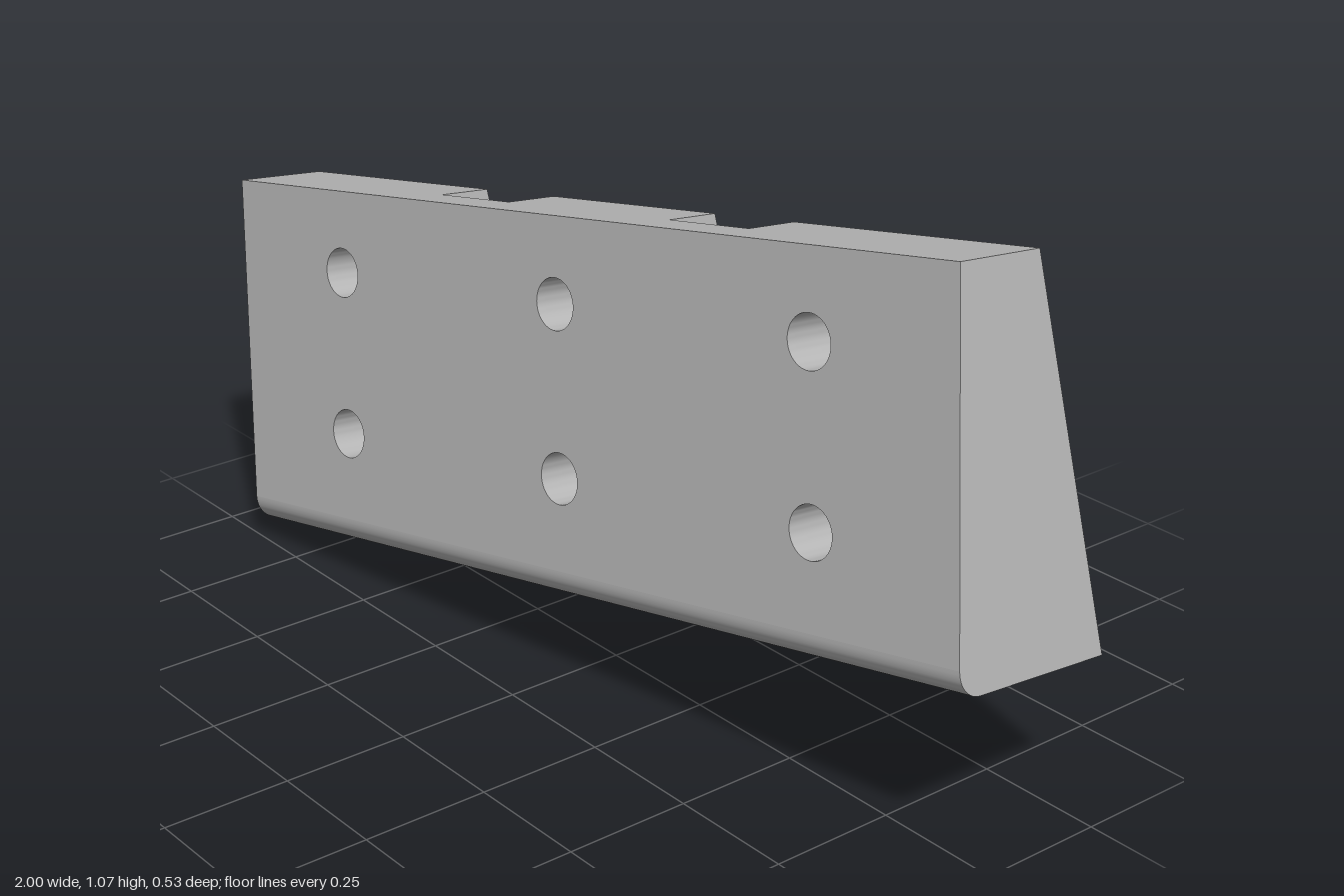
import * as THREE from 'three';
import { mergeGeometries, toCreasedNormals } from 'three/addons/utils/BufferGeometryUtils.js';

// Block sizes in its own frame: a = along, b = up the front face, c = toward the front
const LEN = 1.901, H = 0.714, D = 0.373, FILLET = 0.052;
const SLOPE = 0.176 / H;                      // the back face leans forward as it rises
const back = (b) => b * SLOPE;
const SEAT = 0.236, BORE_R = 0.049, CBORE_R = 0.093;
const SLOT_FLOOR = 0.289, SLOT_B = 0.149, SLOT_HALF = 0.097;
const MID = LEN / 2;
const HOLES = [-0.627, 0, 0.627].flatMap((d) => [[MID + d, 0.228], [MID + d, 0.552]]);
const SLOTS = [-0.3135, 0.3135].map((d) => [MID + d - SLOT_HALF, MID + d + SLOT_HALF]);

const pts = (list) => list.map(([x, y]) => new THREE.Vector2(x, y));
const rect = (x0, y0, x1, y1) => [[x0, y0], [x1, y0], [x1, y1], [x0, y1]];
const circle = ([a, b], r, n = 48) => Array.from({ length: n + 1 }, (_, i) => {
  const t = (i / n) * Math.PI * 2;
  return [a + r * Math.cos(t), b + r * Math.sin(t)];
});

// Flat panel: an outline with holes, each corner placed by map(x, y) -> [a, b, c]
function panel(outline, map, flip = false, holes = []) {
  const shape = new THREE.Shape(pts(outline));
  shape.holes = holes.map((h) => new THREE.Path(pts(h.slice(0, -1))));
  const geo = new THREE.ShapeGeometry(shape);
  const pos = geo.attributes.position;
  for (let i = 0; i < pos.count; i++) pos.setXYZ(i, ...map(pos.getX(i), pos.getY(i)));
  if (flip) geo.index.array.reverse();
  const flat = geo.toNonIndexed();
  flat.deleteAttribute('uv');
  flat.computeVertexNormals();
  return flat;
}

// Smooth strip between two matching rows of points
function strip(P, Q) {
  const v = [];
  for (let i = 0; i < P.length - 1; i++) {
    v.push(...P[i], ...Q[i], ...P[i + 1], ...P[i + 1], ...Q[i], ...Q[i + 1]);
  }
  const geo = new THREE.BufferGeometry();
  geo.setAttribute('position', new THREE.Float32BufferAttribute(v, 3));
  return toCreasedNormals(geo, 0.6);
}

export function createModel() {
  const grey = new THREE.MeshStandardMaterial({ color: 0xb8b8b8 });
  grey.name = 'grey';
  const model = new THREE.Group();
  model.name = 'wedgeBlock';
  const add = (name, ...geos) => {
    const mesh = new THREE.Mesh(mergeGeometries(geos), grey);
    mesh.name = name;
    model.add(mesh);
  };

  // Front face with the six bores
  add('frontFace', panel(rect(0, FILLET, LEN, H), (x, y) => [x, y, D], false,
    HOLES.map((h) => circle(h, BORE_R))));

  // Sloping back face, cut by the slots and counterbores
  const notches = (y) => SLOTS.toReversed().flatMap(([a0, a1]) => [[a1, H], [a1, y], [a0, y], [a0, H]]);
  add('backFace', panel([[0, 0], [LEN, 0], [LEN, H], ...notches(SLOT_B), [0, H]],
    (x, y) => [x, y, back(y)], true, HOLES.map((h) => circle(h, CBORE_R))));

  // Top face, notched where the slots break through
  const topNotches = SLOTS.flatMap(([a0, a1]) =>
    [[a0, back(H)], [a0, SLOT_FLOOR], [a1, SLOT_FLOOR], [a1, back(H)]]);
  add('topFace', panel([[0, back(H)], ...topNotches, [LEN, back(H)], [LEN, D], [0, D]],
    (x, y) => [x, H, y], true));

  add('bottomFace', panel(rect(0, 0, LEN, D - FILLET), (x, y) => [x, 0, y]));

  // Rounded lower front edge
  const arc = Array.from({ length: 13 }, (_, i) => {
    const t = (i / 12) * Math.PI / 2;
    return [D - FILLET + FILLET * Math.sin(t), FILLET - FILLET * Math.cos(t)];
  });
  add('roundedEdge', strip(arc.map(([c, b]) => [0, b, c]), arc.map(([c, b]) => [LEN, b, c])));

  // End faces
  const profile = [[0, 0], ...arc, [D, H], [back(H), H]];
  add('rightEnd', panel(profile, (x, y) => [0, y, x]));
  add('leftEnd', panel(profile, (x, y) => [LEN, y, x], true));

  // Counterbored holes
  for (const h of HOLES) {
    const small = circle(h, BORE_R), large = circle(h, CBORE_R);
    add('bore', strip(small.map(([a, b]) => [a, b, SEAT]), small.map(([a, b]) => [a, b, D])));
    add('counterbore', strip(large.map(([a, b]) => [a, b, back(b)]), large.map(([a, b]) => [a, b, SEAT])));
    add('boreSeat', panel(large.slice(0, -1), (x, y) => [x, y, SEAT], true, [small]));
  }

  // Slots open at the top and back
  const side = [[back(SLOT_B), SLOT_B], [SLOT_FLOOR, SLOT_B], [SLOT_FLOOR, H], [back(H), H]];
  for (const [a0, a1] of SLOTS) {
    add('slot',
      panel(rect(a0, SLOT_B, a1, H), (x, y) => [x, y, SLOT_FLOOR], true),
      panel(rect(a0, back(SLOT_B), a1, SLOT_FLOOR), (x, y) => [x, SLOT_B, y], true),
      panel(side, (x, y) => [a0, y, x], true),
      panel(side, (x, y) => [a1, y, x]));
  }

  // Tilt the block and rest it on its lowest corner
  const u = new THREE.Vector3(0.9816, 0.1683, -0.0894).normalize();
  const v = new THREE.Vector3(0.07, 0.13, 0.989).cross(u).normalize();
  const w = u.clone().cross(v);
  model.quaternion.setFromRotationMatrix(new THREE.Matrix4().makeBasis(u, v, w));
  model.position.set(-0.888, 0, -0.1);
  const root = new THREE.Group();
  root.name = 'model';
  root.add(model);
  return root;
}
